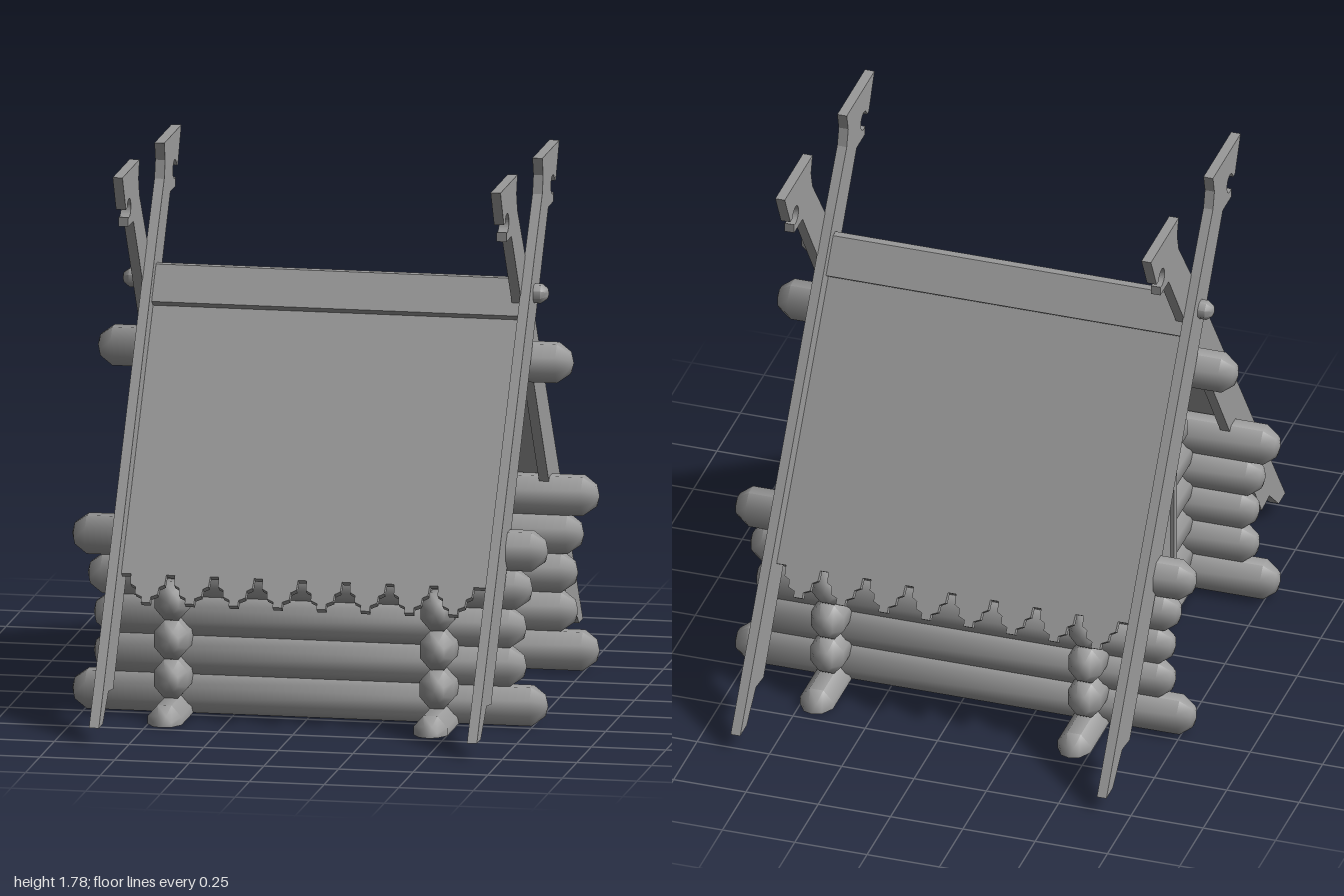
import * as THREE from 'three';
import { toCreasedNormals } from 'three/addons/utils/BufferGeometryUtils.js';

const mat = new THREE.MeshStandardMaterial({ color: 0x999999 });
const PITCH = Math.atan(0.7); // roof slope, measured from the vertical

function add(parent, name, geo, x = 0, y = 0, z = 0) {
  const mesh = new THREE.Mesh(geo, mat);
  mesh.name = name;
  mesh.position.set(x, y, z);
  parent.add(mesh);
  return mesh;
}

// Eight-sided log along y with chamfered, slightly pointed ends
function logGeometry(half, r) {
  const profile = [
    [0, -half], [r * 0.55, -half + r * 0.15], [r, -half + r * 0.75],
    [r, half - r * 0.75], [r * 0.55, half - r * 0.15], [0, half],
  ].map(([a, b]) => new THREE.Vector2(a, b));
  return new THREE.LatheGeometry(profile, 8, Math.PI / 8);
}

// Logs are a little taller than wide, with softly rounded sides
const soften = geo => toCreasedNormals(geo, 0.9);
const logX = (half, r = 0.07, width = 0.88) => soften(logGeometry(half, r).rotateZ(Math.PI / 2).scale(1, 1, width));
const logY = (half, r) => soften(logGeometry(half, r).scale(0.88, 1, 1));

// Log along z; a half log is cut flat along its axis
function logZ(half, cut) {
  const geo = logGeometry(half, 0.07).rotateX(Math.PI / 2).scale(0.88, 1, 1);
  const p = geo.attributes.position;
  if (cut) for (let k = 0; k < p.count; k++) p.setY(k, Math.max(0, p.getY(k)));
  return soften(geo);
}

const extrude = (shape, depth) =>
  new THREE.ExtrudeGeometry(shape, { depth, bevelEnabled: false, curveSegments: 14 });
const polygon = points => new THREE.Shape(points.map(p => new THREE.Vector2(...p)));

// Profile in the z-y plane, thickened from x = 0 towards -x
const sideExtrude = (shape, depth) => extrude(shape, depth).rotateY(-Math.PI / 2);

// Crossed gable board with a stepped foot and a notched head
function boardShape() {
  const s = new THREE.Shape();
  s.moveTo(1, 0.05);
  for (const p of [[0.93, 0.05], [0.83, 0.14], [0.75, 0.13], [0, 1.24], [-0.24, 1.595], [-0.33, 1.595]]) s.lineTo(...p);
  s.absarc(-0.316, 1.655, 0.032, Math.PI * 1.36, Math.PI * 2.94, false);
  for (const p of [[-0.37, 1.66], [-0.43, 1.78], [-0.134, 1.78], [-0.15, 1.72], [-0.134, 1.66], [0, 1.48]]) s.lineTo(...p);
  s.closePath();
  return s;
}

// Roof slope with a stepped, toothed eave
function roofShape(x0, x1, length) {
  const s = new THREE.Shape();
  const steps = [[0.058, 0], [0.058, 0.02], [0.036, 0.03], [0.034, 0.055], [0.016, 0.065], [0.014, 0.1]];
  s.moveTo(x0, 0);
  s.lineTo(x0, 0.1 - length);
  for (let k = -4; k <= 4; k++) {
    const c = 0.006 + 0.147 * k;
    if (k > -4) for (const [w, h] of steps) s.lineTo(c - w, h - length);
    if (k < 4) for (const [w, h] of [...steps].reverse()) s.lineTo(c + w, h - length);
  }
  s.lineTo(x1, 0.1 - length);
  s.lineTo(x1, 0);
  s.closePath();
  return s;
}

// One slope with its boards, rafters and peg; the other is the same turned half round
function roofHalf() {
  const g = new THREE.Group();
  const x0 = -0.6, x1 = 0.63;
  add(g, 'roofPanel', extrude(roofShape(x0, x1, 1.137), 0.025), 0, 1.326, 0).rotation.x = -PITCH;
  const cap = polygon([[0, 1.36], [0.065, 1.277], [0.09, 1.295], [0.014, 1.405], [0, 1.405]]);
  add(g, 'ridgeCap', sideExtrude(cap, x1 - x0), x1);
  const board = sideExtrude(boardShape(), 0.033);
  for (const x of [-0.601, 0.665]) add(g, 'gableBoard', board, x);
  for (const x of [-0.45, 0.45]) {
    add(g, 'rafter', logY(0.33, 0.06), x, 0.94, 0.206).rotation.x = -PITCH;
  }
  add(g, 'peg', logX(0.077, 0.033, 1), 0.637, 1.355, 0);
  return g;
}

export function createModel() {
  const model = new THREE.Group();
  model.name = 'logHut';

  // Long wall logs and ridge log
  const walls = new THREE.Group();
  walls.name = 'walls';
  model.add(walls);
  [0.797, 0.725, 0.725, 0.745, 0.797].forEach((half, i) => {
    for (const z of [-0.445, 0.445]) add(walls, 'longWallLog', logX(half), 0, 0.065 + 0.13 * i, z);
  });
  add(model, 'ridgeLog', logX(0.797), 0, 1.125, 0);

  // End wall logs: the lowest is cut flat at the ground
  [0.72, 0.61, 0.605, 0.6, 0.52, 0.42].forEach((half, i) => {
    for (const x of [-0.445, 0.445]) add(walls, 'endWallLog', logZ(half, i === 0), x, 0.13 * i, 0);
  });

  // Door set against the end wall, between two jambs
  const door = new THREE.Group();
  door.name = 'door';
  model.add(door);
  add(door, 'doorPanel', new THREE.BoxGeometry(0.04, 0.53, 0.33), -0.49, 0.325, 0);
  for (const s of [-1, 1]) add(door, 'doorJamb', new THREE.BoxGeometry(0.055, 0.53, 0.03), -0.495, 0.325, s * 0.175);

  // Gable walls, filled up to the ridge
  const gable = polygon([[-0.37, 0.66], [0.37, 0.66], [0.37, 0.78], [0, 1.32], [-0.37, 0.78]]);
  for (const x of [-0.43, 0.46]) add(model, 'gableWall', sideExtrude(gable, 0.03), x);

  // Both roof slopes
  for (const [name, turn] of [['frontRoof', 0], ['backRoof', Math.PI]]) {
    const half = roofHalf();
    half.name = name;
    half.rotation.y = turn;
    model.add(half);
  }
  return model;
}
